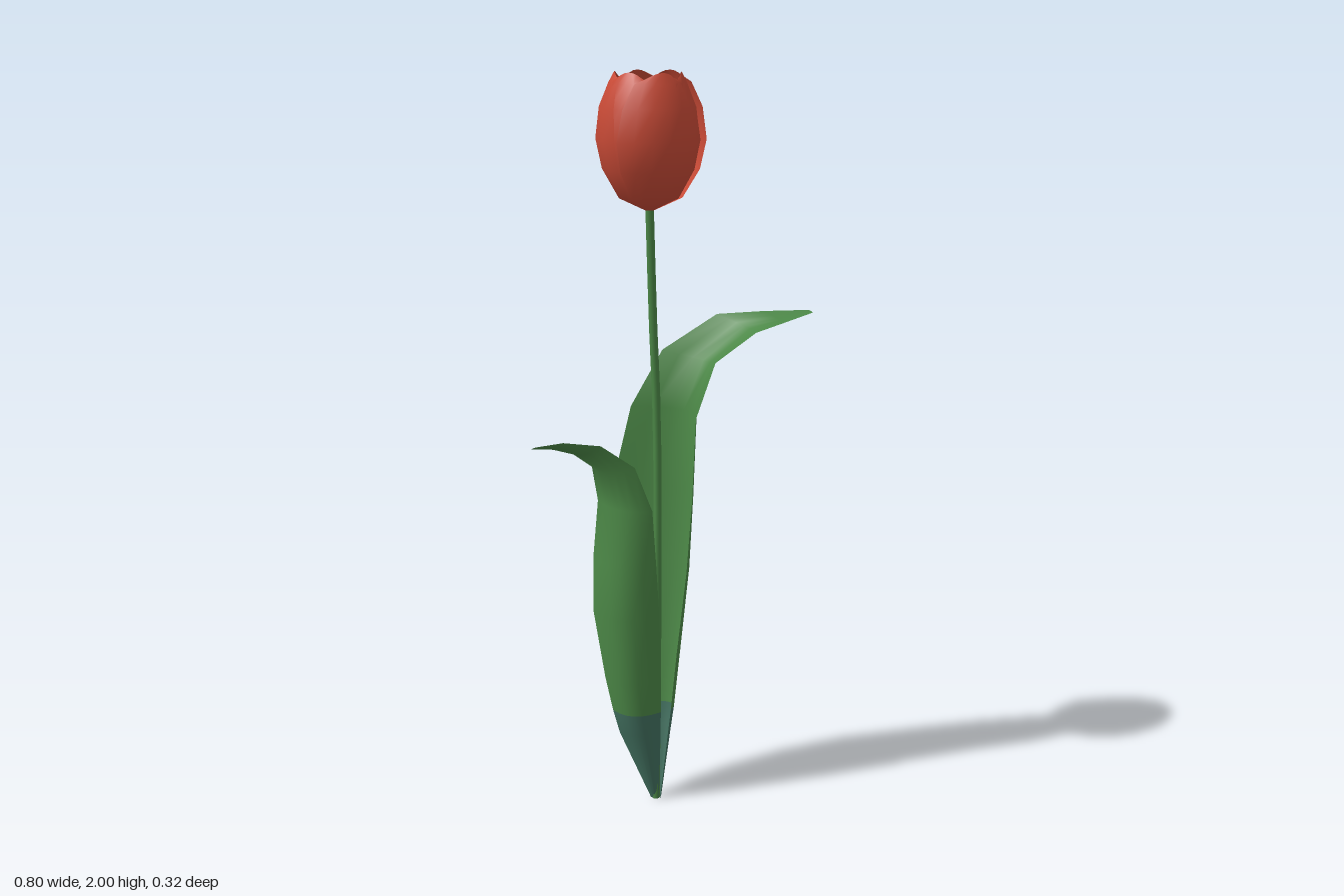
import * as THREE from 'three';

const mat = (name, color, side = THREE.DoubleSide) => {
  const m = new THREE.MeshStandardMaterial({ color, side });
  m.name = name;
  return m;
};

// Smooth open sheet from rows of points; rows from index `split` up use the second material
function sheet(name, rows, materials, split = 0) {
  const n = rows[0].length, index = [];
  const geo = new THREE.BufferGeometry();
  for (let i = 0; i < rows.length - 1; i++) {
    for (let j = 0; j < n - 1; j++) {
      const a = i * n + j, b = a + n;
      index.push(a, a + 1, b, a + 1, b + 1, b);
    }
  }
  geo.setFromPoints(rows.flat());
  geo.setIndex(index);
  const cut = split * (n - 1) * 6;
  if (split) geo.addGroup(0, cut, 0);
  geo.addGroup(cut, index.length - cut, 1);
  geo.computeVertexNormals();
  const mesh = new THREE.Mesh(geo, materials);
  mesh.name = name;
  return mesh;
}

// Leaf cross-section: parabola through front edge, middle and back edge
function section([f, m, b]) {
  const [F, M, B] = [f, m, b].map(p => new THREE.Vector3(...p));
  const control = M.multiplyScalar(2).addScaledVector(F, -0.5).addScaledVector(B, -0.5);
  return new THREE.QuadraticBezierCurve3(F, control, B).getPoints(6);
}

// Each row: front edge, middle, back edge
const tallRows = [
  [[-0.035, 0, 0.012], [-0.03, 0, 0], [-0.045, 0, -0.008]],
  [[-0.012, 0.2, 0.015], [0, 0.2, -0.032], [-0.085, 0.2, -0.065]],
  [[-0.006, 0.265, 0.02], [0.008, 0.265, -0.038], [-0.1, 0.265, -0.08]],
  [[0.006, 0.43, 0.032], [0.022, 0.43, -0.05], [-0.125, 0.43, -0.112]],
  [[0.025, 0.67, 0.055], [0.04, 0.67, -0.06], [-0.135, 0.67, -0.148]],
  [[0.036, 0.88, 0.067], [0.05, 0.88, -0.06], [-0.105, 0.88, -0.155]],
  [[0.042, 1.1, 0.076], [0.058, 1.1, -0.04], [-0.06, 1.1, -0.13]],
  [[0.09, 1.25, 0.092], [0.1, 1.237, -0.01], [0.02, 1.255, -0.1]],
  [[0.21, 1.32, 0.085], [0.21, 1.325, 0.01], [0.16, 1.35, -0.055]],
  [[0.3, 1.335, 0.063], [0.3, 1.342, 0.025], [0.28, 1.356, -0.015]],
  [[0.398, 1.352, 0.04], [0.4, 1.354, 0.033], [0.395, 1.357, 0.022]],
];
const shortRows = [
  [[-0.037, 0, 0.008], [-0.05, 0, 0.004], [-0.055, 0, -0.008]],
  [[-0.037, 0.2, 0.02], [-0.105, 0.2, 0.02], [-0.138, 0.2, -0.03]],
  [[-0.038, 0.265, 0.025], [-0.118, 0.265, 0.025], [-0.153, 0.265, -0.042]],
  [[-0.04, 0.36, 0.03], [-0.135, 0.36, 0.03], [-0.17, 0.36, -0.055]],
  [[-0.05, 0.55, 0.045], [-0.155, 0.55, 0.035], [-0.195, 0.55, -0.075]],
  [[-0.065, 0.7, 0.06], [-0.16, 0.7, 0.035], [-0.19, 0.7, -0.085]],
  [[-0.08, 0.86, 0.07], [-0.155, 0.86, 0.03], [-0.175, 0.86, -0.085]],
  [[-0.13, 0.985, 0.072], [-0.185, 0.96, 0.012], [-0.195, 0.965, -0.078]],
  [[-0.22, 1.05, 0.06], [-0.255, 1.02, 0.02], [-0.27, 1.015, -0.04]],
  [[-0.32, 1.067, 0.053], [-0.335, 1.05, 0.028], [-0.34, 1.04, 0.002]],
  [[-0.392, 1.06, 0.042], [-0.4, 1.055, 0.036], [-0.395, 1.053, 0.03]],
];

// Petal profile: radius, height, share of full width
const petalProfile = [
  [0.012, 1.65, 1], [0.08, 1.682, 0.95], [0.122, 1.755, 1], [0.138, 1.83, 1],
  [0.128, 1.91, 0.92], [0.103, 1.97, 0.75], [0.088, 1.997, 0.45],
];

// One cupped petal whose one side overlaps its neighbour
function petal(name, angle, size, halfWidth, material) {
  const rows = petalProfile.map(([r, y, w], i) => {
    const row = [];
    for (let j = -3; j <= 3; j++) {
      const u = j / 3, a = angle + u * halfWidth * w;
      const radius = r * size * (1 + 0.05 * u);
      const drop = i === 6 ? 0.014 * u * u : 0;
      row.push(new THREE.Vector3(radius * Math.cos(a), y - drop, radius * Math.sin(a)));
    }
    return row;
  });
  return sheet(name, rows, [material, material]);
}

export function createModel() {
  const green = mat('leaf green', 0x4c8847);
  const teal = mat('leaf base teal', 0x42705f);
  const red = mat('petal red', 0xc84a36);
  const model = new THREE.Group();
  model.name = 'flower';

  // Slender bent stem
  const path = new THREE.CatmullRomCurve3([
    [-0.043, 0, 0], [-0.037, 0.6, 0], [-0.038, 1.1, 0], [-0.05, 1.35, 0.005], [-0.07, 1.665, 0.032],
  ].map(p => new THREE.Vector3(...p)));
  const stem = new THREE.Mesh(new THREE.TubeGeometry(path, 10, 0.011, 6), green);
  stem.name = 'stem';
  model.add(stem);

  // Two folded leaves with teal bases
  model.add(sheet('tallLeaf', tallRows.map(section), [teal, green], 2));
  model.add(sheet('shortLeaf', shortRows.map(section), [teal, green], 2));

  // Three outer and three inner petals
  const bloom = new THREE.Group();
  bloom.name = 'bloom';
  bloom.position.set(-0.07, 0, 0.032);
  for (let k = 0; k < 3; k++) {
    const a = Math.PI / 2 + k * Math.PI * 2 / 3;
    bloom.add(petal('outerPetal', a, 1, 0.98, red));
    bloom.add(petal('innerPetal', a + Math.PI / 3, 0.93, 0.95, red));
  }
  model.add(bloom);
  return model;
}
